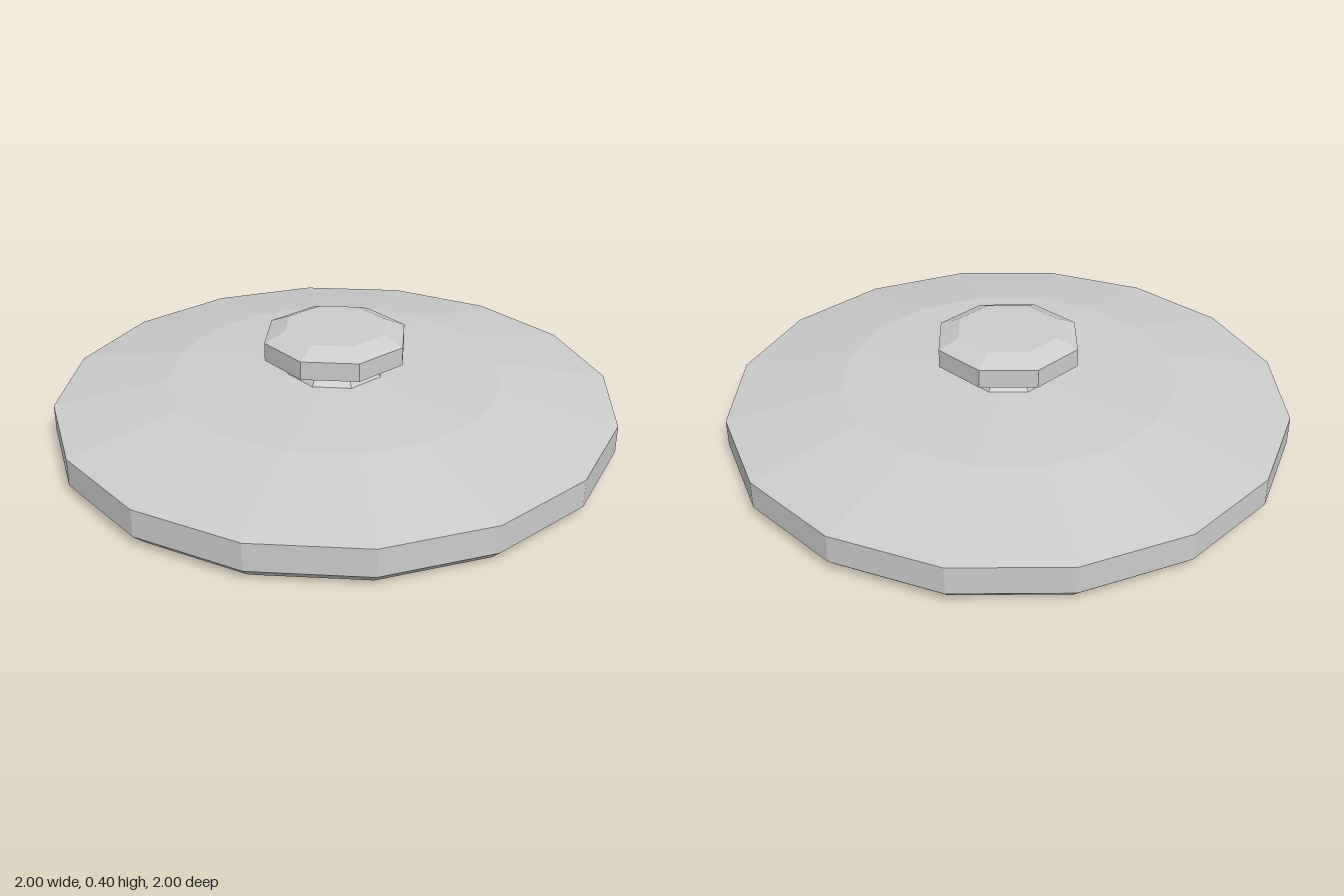
import * as THREE from 'three';

const material = new THREE.MeshStandardMaterial({ color: 0xcccccc, flatShading: true });

// Faceted solid of revolution from [radius, height] pairs, bottom to top
function turned(name, profile, sides, startAngle) {
  const points = profile.map(([r, y]) => new THREE.Vector2(r, y));
  const mesh = new THREE.Mesh(new THREE.LatheGeometry(points, sides, startAngle), material);
  mesh.name = name;
  return mesh;
}

export function createModel() {
  const group = new THREE.Group();
  group.name = 'lid';

  // Sixteen-sided disc with flats facing the axes, so widths are given across flats
  const flats = 1 / Math.cos(Math.PI / 16);
  const disc = [[0, 0], [0.96, 0], [1, 0.04], [1, 0.14], [0.595, 0.22], [0, 0.243]];
  group.add(turned('lidDisc', disc.map(([r, y]) => [r * flats, y]), 16, Math.PI / 16));

  // Eight-sided handle: flared neck, undercut, rim and bevelled top
  group.add(turned('knob', [
    [0, 0.225], [0.185, 0.23], [0.155, 0.272], [0.265, 0.302],
    [0.265, 0.37], [0.19, 0.402], [0, 0.402],
  ], 8, 0));

  return group;
}
